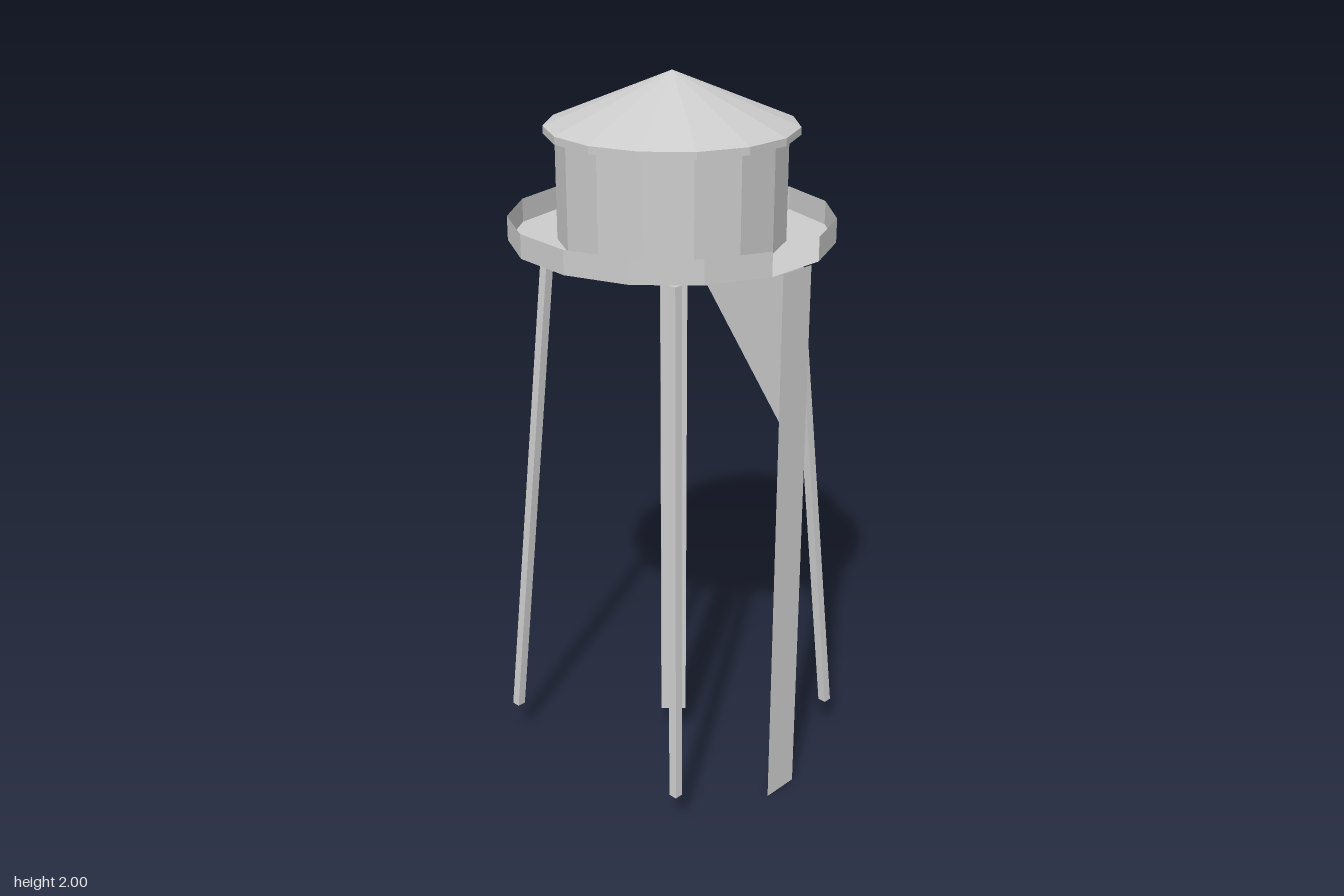
import * as THREE from 'three';

const SIDES = 15;
const STEP = (Math.PI * 2) / SIDES;

const solid = new THREE.MeshStandardMaterial({ color: 0xcccccc, flatShading: true });
const thin = new THREE.MeshStandardMaterial({ color: 0xcccccc, flatShading: true, side: THREE.DoubleSide });

function add(parent, name, geometry, material = solid) {
  const mesh = new THREE.Mesh(geometry, material);
  mesh.name = name;
  parent.add(mesh);
  return mesh;
}

// Fifteen-sided drum between two heights, with one flat facing the front
function drum(rTop, rBottom, y0, y1, open = false) {
  return new THREE.CylinderGeometry(rTop, rBottom, y1 - y0, SIDES, 1, open, STEP / 2)
    .translate(0, (y0 + y1) / 2, 0);
}

// Square leg with level ends, leaning in along the diagonal
function legGeometry(sx, sz) {
  const y0 = 0.1, y1 = 1.53;
  const geo = new THREE.BoxGeometry(0.025, y1 - y0, 0.025).translate(0, (y0 + y1) / 2, 0);
  const pos = geo.attributes.position;
  for (let i = 0; i < pos.count; i++) {
    const t = (pos.getY(i) - y0) / (y1 - y0);
    const offset = THREE.MathUtils.lerp(0.329, 0.235, t);
    pos.setX(i, pos.getX(i) + sx * offset);
    pos.setZ(i, pos.getZ(i) + sz * offset);
  }
  geo.computeVertexNormals();
  return geo;
}

export function createModel() {
  const tower = new THREE.Group();
  tower.name = 'waterTower';

  // Tank and its overhanging conical roof
  add(tower, 'tank', drum(0.305, 0.305, 1.56, 1.845));
  add(tower, 'roofRim', drum(0.335, 0.335, 1.842, 1.862));
  add(tower, 'roof', drum(0, 0.335, 1.862, 2, true));

  // Walkway floor and thin parapet, open on the front side for the ladder
  const floor = new THREE.CircleGeometry(0.436, SIDES, -Math.PI / 2 + STEP / 2)
    .rotateX(-Math.PI / 2).translate(0, 1.56, 0);
  add(tower, 'walkwayFloor', floor, thin);
  const parapet = new THREE.CylinderGeometry(
    0.436, 0.436, 0.065, SIDES - 1, 1, true, STEP / 2, Math.PI * 2 - STEP
  ).translate(0, 1.5925, 0);
  add(tower, 'parapet', parapet, thin);

  // Four leaning legs
  for (const sx of [-1, 1]) {
    for (const sz of [-1, 1]) add(tower, 'leg', legGeometry(sx, sz));
  }

  // Central square riser pipe, open at its ends
  add(tower, 'riserPipe', new THREE.CylinderGeometry(0.051, 0.051, 1.455, 4, 1, true)
    .translate(0, 0.8275, 0.006));

  // Flat ladder strip
  add(tower, 'ladder', new THREE.PlaneGeometry(0.11, 1.56).translate(0, 0.78, 0.432), thin);

  // Triangular brace panel between the two legs on the +x side
  const brace = new THREE.BufferGeometry();
  brace.setAttribute('position', new THREE.Float32BufferAttribute([
    0.235, 1.53, 0.24,
    0.281, 0.83, 0.28,
    0.235, 1.53, -0.23,
  ], 3));
  brace.computeVertexNormals();
  add(tower, 'bracePanel', brace, thin);

  return tower;
}
